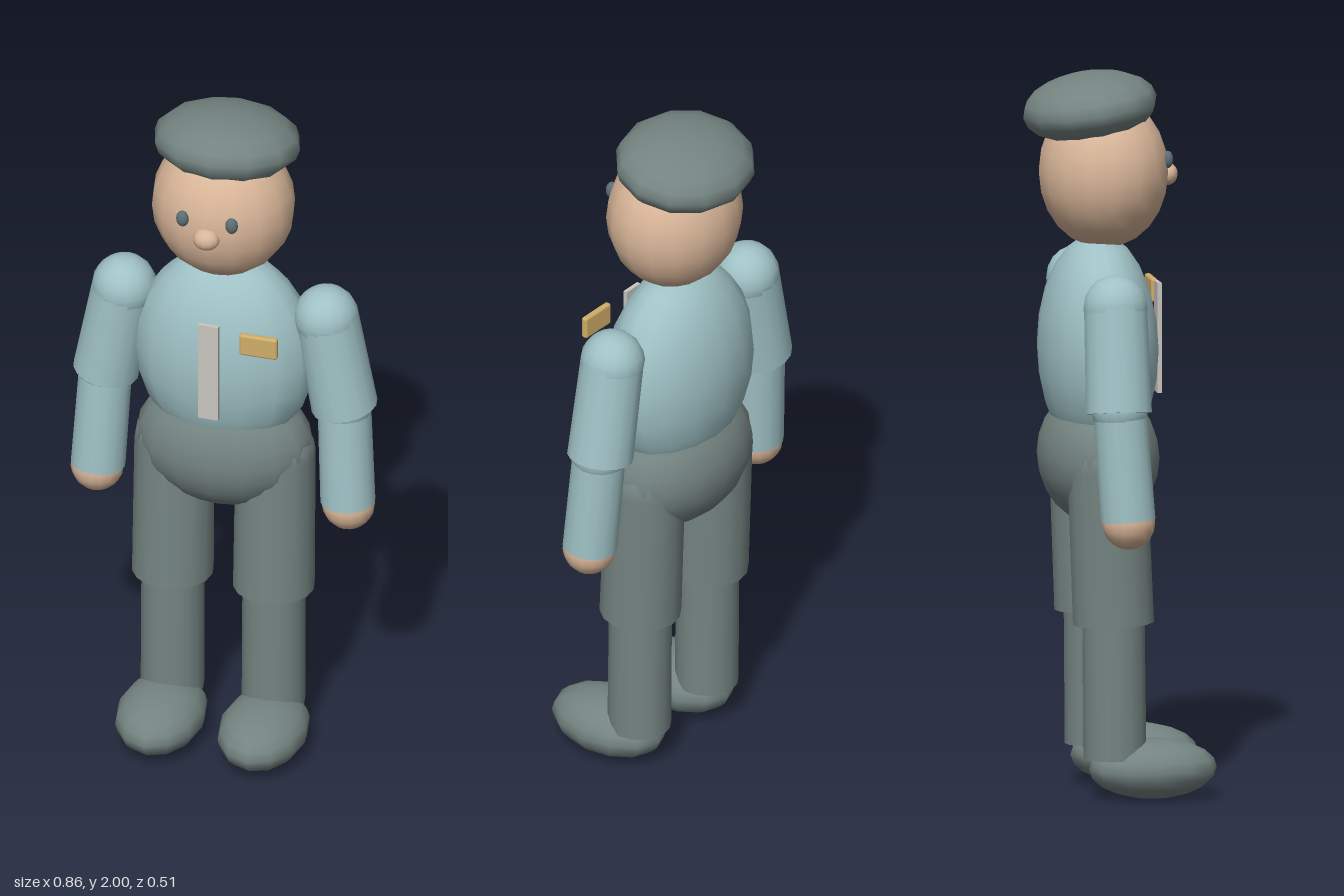
import * as THREE from 'three';
import { RoundedBoxGeometry } from 'three/addons/geometries/RoundedBoxGeometry.js';

const paint = (name, color) => {
  const m = new THREE.MeshStandardMaterial({ color });
  m.name = name;
  return m;
};

export function createModel() {
  const root = new THREE.Group();
  root.name = 'uniformedFigure';
  const cloth = paint('greyGreenCloth', 0x748481);
  const shirt = paint('paleBlueShirt', 0x9fc1c5);
  const skin = paint('skin', 0xd9b699);
  const eyeColor = paint('eyeGrey', 0x5c6e74);
  const silver = paint('lightGrey', 0xc9c5c0);
  const gold = paint('gold', 0xd0ae68);

  const add = (name, geometry, material, parent = root) => {
    const mesh = new THREE.Mesh(geometry, material);
    mesh.name = name;
    parent.add(mesh);
    return mesh;
  };

  // Ellipsoid from a centre and three radii
  const ball = (name, center, radii, material, parent, w = 12, h = 10) => {
    const g = new THREE.SphereGeometry(1, w, h);
    g.scale(...radii);
    const mesh = add(name, g, material, parent);
    mesh.position.set(...center);
    return mesh;
  };

  // Capped cylinder running from top point a to bottom point b
  const limb = (name, a, b, rTop, rBottom, material, parent) => {
    const top = new THREE.Vector3(...a), bottom = new THREE.Vector3(...b);
    const axis = top.clone().sub(bottom);
    const mesh = add(name, new THREE.CylinderGeometry(rTop, rBottom, axis.length(), 16), material, parent);
    mesh.position.copy(top).add(bottom).multiplyScalar(0.5);
    mesh.quaternion.setFromUnitVectors(new THREE.Vector3(0, 1, 0), axis.normalize());
    return mesh;
  };

  // Body
  ball('torso', [0, 1.235, -0.048], [0.255, 0.315, 0.165], shirt, root, 16, 12);
  ball('hips', [0, 0.935, -0.047], [0.25, 0.19, 0.167], cloth, root, 16, 12);

  // Shirt front details
  const placket = add('placket', new THREE.BoxGeometry(0.058, 0.305, 0.012), silver);
  placket.position.set(0, 1.258, 0.12);
  const badge = add('badge', new RoundedBoxGeometry(0.108, 0.066, 0.019, 2, 0.007), gold);
  badge.position.set(0.145, 1.372, 0.127);

  // Head and cap
  ball('head', [0, 1.722, -0.032], [0.2, 0.212, 0.18], skin, root, 16, 12);
  ball('nose', [0, 1.71, 0.143], [0.038, 0.032, 0.032], skin);
  const cap = ball('cap', [0, 1.902, -0.07], [0.207, 0.095, 0.188], cloth);
  cap.rotation.x = -0.15;

  for (const [side, s] of [['left', 1], ['right', -1]]) {
    ball(side + 'Eye', [0.07 * s, 1.76, 0.135], [0.018, 0.024, 0.015], eyeColor);

    // Arm with short sleeve, elbow, forearm and hand
    const arm = new THREE.Group();
    arm.name = side + 'Arm';
    root.add(arm);
    ball('shoulder', [0.288 * s, 1.385, -0.05], [0.09, 0.09, 0.09], shirt, arm, 16);
    limb('upperArm', [0.288 * s, 1.39, -0.05], [0.34 * s, 1.1, -0.05], 0.088, 0.092, shirt, arm);
    ball('elbow', [0.34 * s, 1.11, -0.047], [0.079, 0.079, 0.079], shirt, arm, 16);
    limb('forearm', [0.34 * s, 1.11, -0.047], [0.356 * s, 0.805, -0.027], 0.074, 0.076, shirt, arm);
    ball('hand', [0.358 * s, 0.8, -0.026], [0.074, 0.076, 0.074], skin, arm, 16);

    // Leg with trouser top, shin and shoe
    const leg = new THREE.Group();
    leg.name = side + 'Leg';
    root.add(leg);
    ball('hipJoint', [0.144 * s, 0.915, -0.047], [0.111, 0.111, 0.111], cloth, leg, 16);
    limb('thigh', [0.144 * s, 0.915, -0.047], [0.144 * s, 0.49, -0.03], 0.111, 0.113, cloth, leg);
    limb('shin', [0.144 * s, 0.5, -0.03], [0.144 * s, 0.115, -0.026], 0.087, 0.088, cloth, leg);
    ball('shoe', [0.146 * s, 0.083, 0.08], [0.123, 0.083, 0.178], cloth, leg);
  }
  return root;
}
